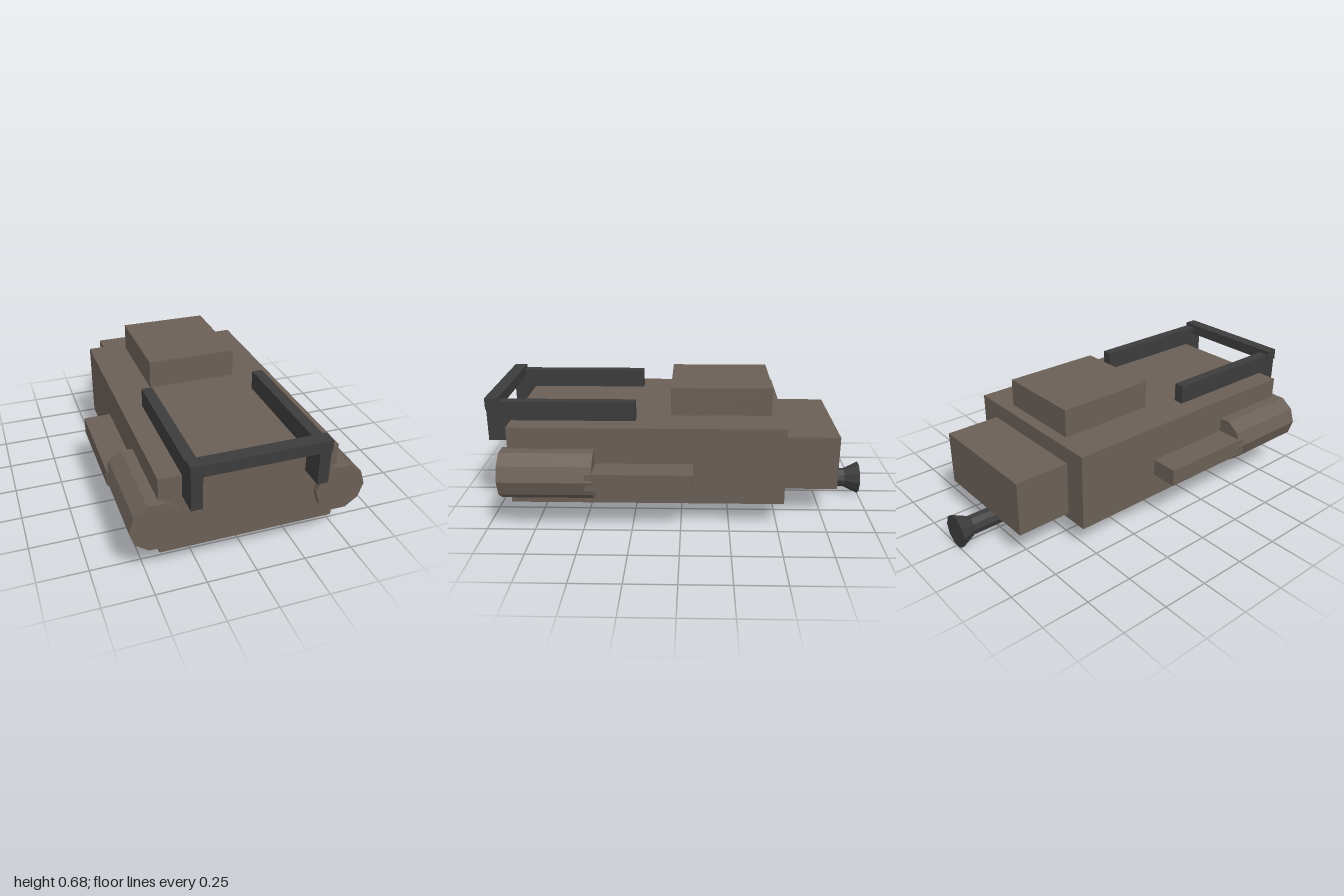
import * as THREE from 'three';

const brown = new THREE.MeshStandardMaterial({ color: 0x6a5f56, flatShading: true });
const dark = new THREE.MeshStandardMaterial({ color: 0x3c3c3c, flatShading: true });

// Box given by its extents along x, y and z
function box(name, material, [x0, x1], [y0, y1], [z0, z1]) {
  const mesh = new THREE.Mesh(new THREE.BoxGeometry(x1 - x0, y1 - y0, z1 - z0), material);
  mesh.position.set((x0 + x1) / 2, (y0 + y1) / 2, (z0 + z1) / 2);
  mesh.name = name;
  return mesh;
}

// Ten-sided prism or cone along z, with corners pointing to +x and -x
function rod(name, material, x, y, [z0, z1], backRadius, frontRadius = backRadius) {
  const geometry = new THREE.CylinderGeometry(frontRadius, backRadius, z1 - z0, 10, 1, false, Math.PI / 2);
  geometry.rotateX(Math.PI / 2);
  const mesh = new THREE.Mesh(geometry, material);
  mesh.position.set(x, y, (z0 + z1) / 2);
  mesh.name = name;
  return mesh;
}

export function createModel() {
  const model = new THREE.Group();
  model.name = 'pack';

  // Main body with the raised pocket and the narrower end pocket
  model.add(
    box('body', brown, [-0.44, 0.44], [0.128, 0.537], [-0.532, 0.875]),
    box('topPocket', brown, [-0.235, 0.235], [0.5, 0.685], [-0.472, 0.055]),
    box('endPocket', brown, [-0.32, 0.32], [0.16, 0.45], [-0.823, -0.5])
  );

  // Side pouches, rolls and frame rails on both sides
  for (const [side, s] of [['left', 1], ['right', -1]]) {
    const mirror = (a, b) => (s > 0 ? [a, b] : [-b, -a]);
    model.add(
      box(side + 'Pouch', brown, mirror(0.4, 0.582), [0.257, 0.347], [-0.062, 0.47]),
      rod(side + 'Roll', brown, s * 0.458, 0.303, [0.435, 0.905], 0.128),
      box(side + 'Rail', dark, mirror(0.275, 0.33), [0.427, 0.636], [0.233, 0.996])
    );
  }

  // Crossbar joining the rails
  model.add(box('crossbar', dark, [-0.334, 0.334], [0.596, 0.655], [0.932, 1]));

  // Flared tube under the body with its clamp
  model.add(
    rod('tube', dark, 0, 0.086, [-0.92, -0.295], 0.052),
    rod('tubeFlare', dark, 0, 0.086, [-1, -0.92], 0.09, 0.052),
    box('tubeClamp', dark, [-0.09, 0.09], [0.085, 0.14], [-0.47, -0.42])
  );

  return model;
}
